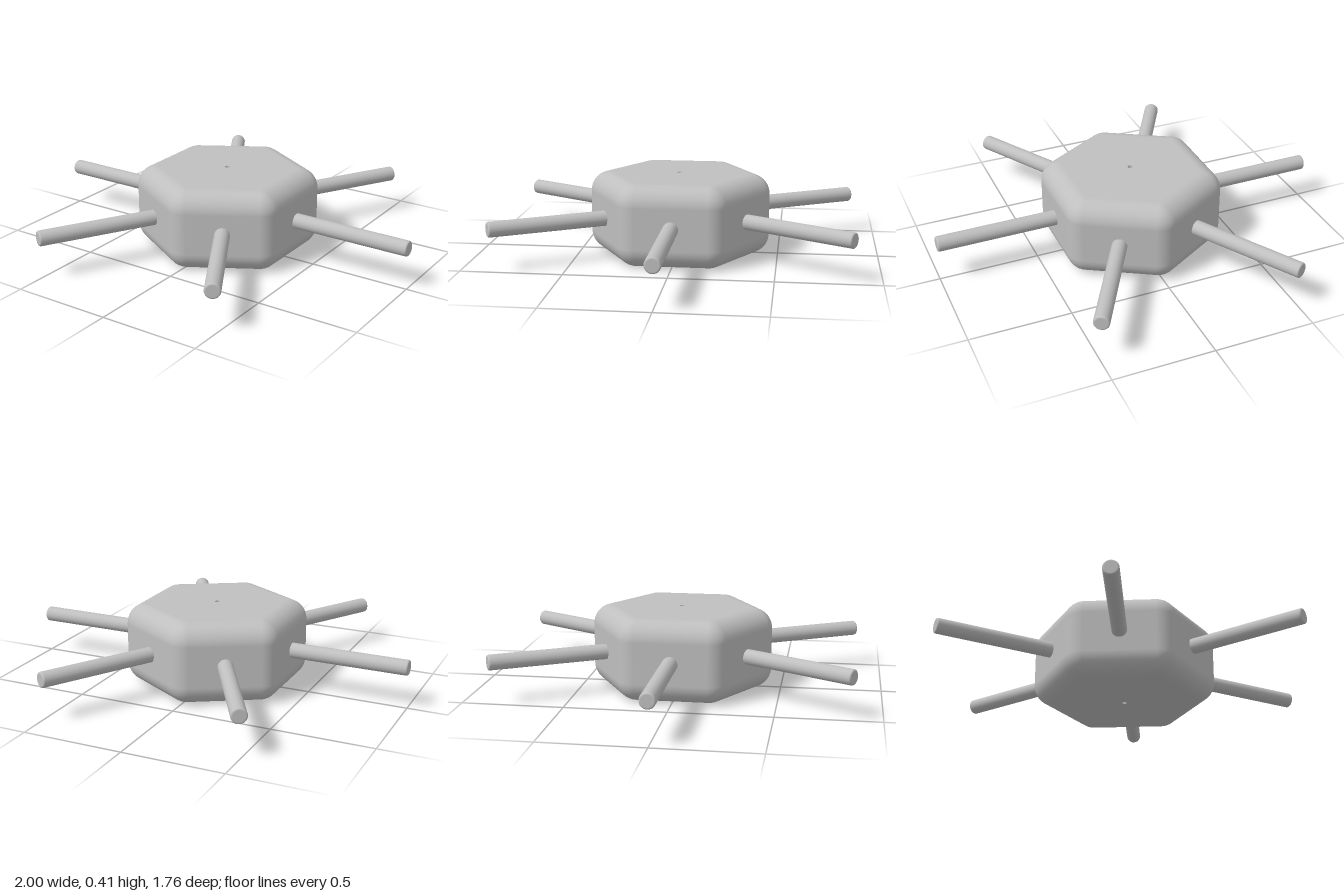
import * as THREE from 'three';

const HEIGHT = 0.405, MID = HEIGHT / 2;
const FILLET = 0.1;           // rounding of all body edges
const CORNER = 0.352;         // centre to the axis of each rounded corner
const HOLE = 0.012;           // narrow bore through the body

// Rounded hexagonal prism with a bore, swept as one closed ring of cross-sections
function hexBodyGeometry() {
  const steps = 10, positions = [], normals = [], index = [];
  // Each row: fillet offset, height, normal tilt, or the bore
  const rows = [];
  for (const side of [-1, 1]) {
    for (let i = 0; i <= steps; i++) {
      const phi = (side < 0 ? i / steps - 1 : i / steps) * Math.PI / 2;
      rows.push({
        offset: FILLET * Math.cos(phi),
        y: MID + side * (MID - FILLET) + FILLET * Math.sin(phi),
        out: Math.cos(phi), up: Math.sin(phi),
      });
    }
  }
  rows.push({ bore: true, y: HEIGHT, out: 0, up: 1 });
  rows.push({ bore: true, y: HEIGHT, out: -1, up: 0 });
  rows.push({ bore: true, y: 0, out: -1, up: 0 });
  rows.push({ bore: true, y: 0, out: 0, up: -1 });

  const columns = 6 * (steps + 1);
  for (const row of rows) {
    for (let k = 0; k < 6; k++) {
      const corner = (k + 0.5) * Math.PI / 3;
      for (let i = 0; i <= steps; i++) {
        const a = (k + i / steps) * Math.PI / 3;
        const c = Math.cos(a), s = Math.sin(a);
        const base = row.bore ? 0 : CORNER, r = row.bore ? HOLE : row.offset;
        positions.push(base * Math.cos(corner) + r * c, row.y, base * Math.sin(corner) + r * s);
        normals.push(row.out * c, row.up, row.out * s);
      }
    }
  }
  for (let j = 0; j < rows.length; j++) {
    const next = (j + 1) % rows.length;
    for (let i = 0; i < columns; i++) {
      const n = (i + 1) % columns;
      const a = j * columns + i, b = next * columns + i;
      const c = next * columns + n, d = j * columns + n;
      index.push(a, b, d, b, c, d);
    }
  }
  const geometry = new THREE.BufferGeometry();
  geometry.setAttribute('position', new THREE.Float32BufferAttribute(positions, 3));
  geometry.setAttribute('normal', new THREE.Float32BufferAttribute(normals, 3));
  geometry.setIndex(index);
  return geometry;
}

// Round rod along +x with a softly rounded tip
function rodGeometry(length) {
  const radius = 0.038, round = 0.008;
  const profile = [[radius, 0.28], [radius, length - round - 0.004]];
  for (let i = 0; i <= 4; i++) {
    const t = i / 4 * Math.PI / 2;
    profile.push([radius - round + round * Math.cos(t), length - round + round * Math.sin(t)]);
  }
  profile.push([radius - round - 0.004, length], [0, length]);
  const geometry = new THREE.LatheGeometry(profile.map(([x, y]) => new THREE.Vector2(x, y)), 32);
  return geometry.rotateZ(-Math.PI / 2);
}

export function createModel() {
  const model = new THREE.Group();
  model.name = 'hexHubWithRods';
  const grey = new THREE.MeshStandardMaterial({ color: 0xbfbfbf });
  grey.name = 'plainGrey';

  const hub = new THREE.Group();
  hub.name = 'hub';
  hub.position.set(-0.005, 0, -0.002);
  model.add(hub);

  const body = new THREE.Mesh(hexBodyGeometry(), grey);
  body.name = 'body';
  hub.add(body);

  // One rod out of the middle of each side face
  for (let i = 0; i < 6; i++) {
    const rod = new THREE.Mesh(rodGeometry(i === 0 ? 1.005 : 0.995), grey);
    rod.name = `rod${i + 1}`;
    rod.position.y = 0.206;
    rod.rotation.y = i * Math.PI / 3;
    hub.add(rod);
  }
  return model;
}
